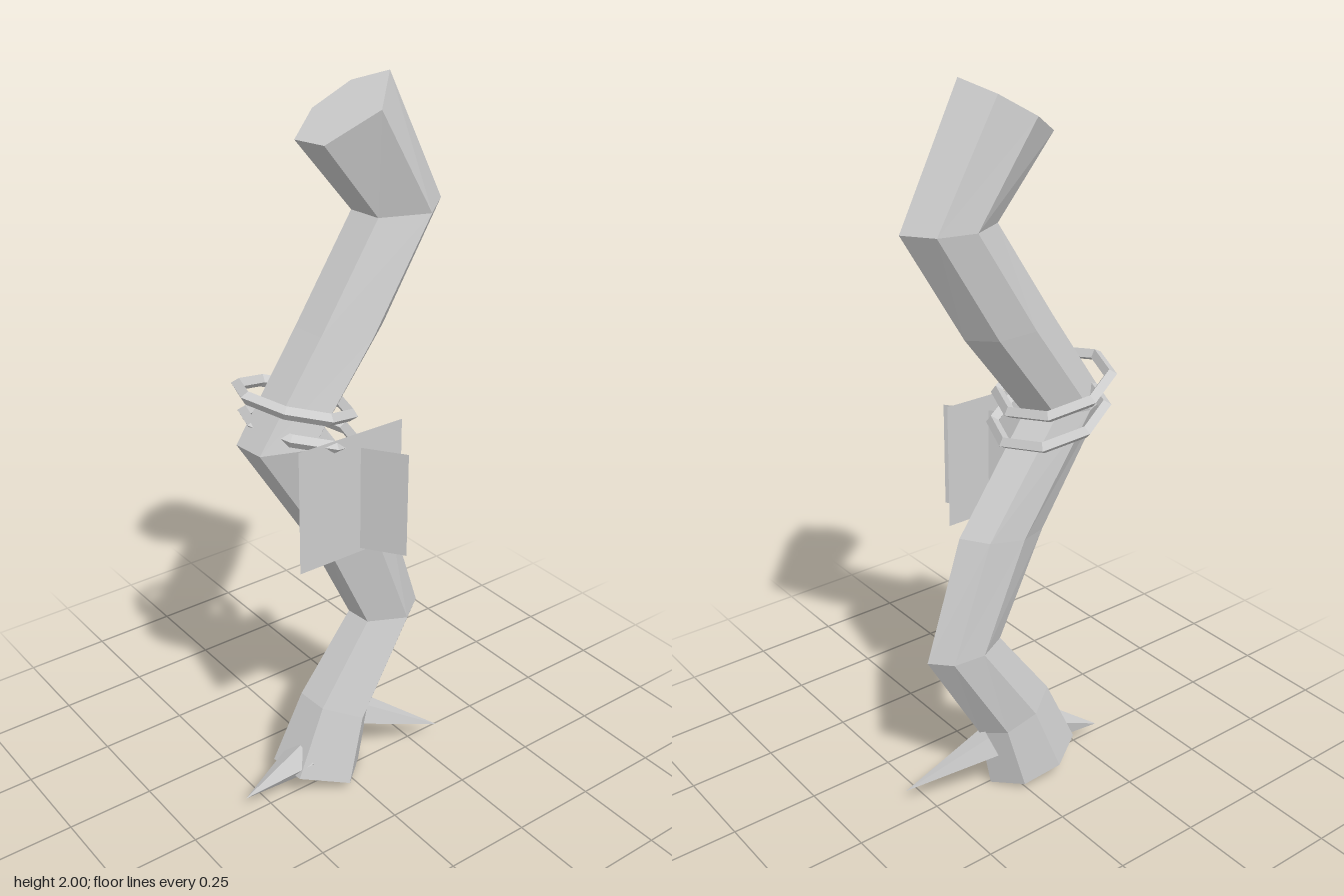
import * as THREE from 'three';

export function createModel() {
  const model = new THREE.Group();
  const grey = new THREE.MeshStandardMaterial({ color: 0xcccccc });
  grey.name = 'pale grey';
  grey.flatShading = true;
  grey.side = THREE.DoubleSide;

  const add = (name, geometry) => {
    const mesh = new THREE.Mesh(geometry, grey);
    mesh.name = name;
    model.add(mesh);
    return mesh;
  };

  // Trunk: one six-sided section (fraction across, depth) swept down crooked rows
  const section = [[0, -0.06], [0.37, -0.107], [0.78, -0.083], [1, -0.005], [0.57, 0.09], [0.04, 0.04]];
  // Each row: left x, left y, right x, right y, depth scale
  const rows = [
    [-0.09, 1.86, 0.145, 2.0, 1.05],
    [0.072, 1.665, 0.315, 1.665, 0.95],
    [-0.1, 1.4, 0.135, 1.37, 0.95],
    [-0.285, 1.13, -0.05, 1.13, 0.9],
    [-0.08, 0.8, 0.16, 0.83, 0.8],
    [0.06, 0.51, 0.27, 0.49, 0.75],
    [-0.1, 0.29, 0.1, 0.19, 0.9],
    [-0.19, 0.09, 0.065, 0.005, 1.12],
  ];
  const n = section.length;
  const positions = [];
  const index = [];
  for (const [lx, ly, rx, ry, depth] of rows) {
    for (const [t, z] of section) {
      positions.push(lx + (rx - lx) * t, ly + (ry - ly) * t, z * depth);
    }
  }
  for (let r = 0; r < rows.length - 1; r++) {
    for (let k = 0; k < n; k++) {
      const a = r * n + k, b = r * n + (k + 1) % n;
      index.push(a, b, b + n, a, b + n, a + n);
    }
  }
  const last = (rows.length - 1) * n;
  for (let k = 1; k < n - 1; k++) {
    index.push(0, k + 1, k, last, last + k, last + k + 1);
  }
  const trunk = new THREE.BufferGeometry();
  trunk.setAttribute('position', new THREE.Float32BufferAttribute(positions, 3));
  trunk.setIndex(index);
  const facetedTrunk = trunk.toNonIndexed();
  facetedTrunk.computeVertexNormals();
  add('trunk', facetedTrunk);

  // Two tilted hoops hanging around the upper bend
  [[-0.114, 1.21], [-0.098, 1.13]].forEach(([x, y], i) => {
    const hoop = new THREE.TorusGeometry(0.149, 0.017, 4, 8);
    hoop.rotateX(Math.PI / 2);
    hoop.rotateZ(-0.3);
    add(i ? 'lowerHoop' : 'upperHoop', hoop).position.set(x, y, -0.045);
  });

  // Pointed roots at the foot
  const addRoot = (name, base, tip, radius) => {
    const from = new THREE.Vector3(...base);
    const axis = new THREE.Vector3(...tip).sub(from);
    const cone = new THREE.ConeGeometry(radius, axis.length(), 5);
    cone.translate(0, axis.length() / 2, 0);
    const root = add(name, cone);
    root.position.copy(from);
    root.quaternion.setFromUnitVectors(new THREE.Vector3(0, 1, 0), axis.normalize());
  };
  addRoot('leftRoot', [0.08, 0.165, -0.03], [0.315, 0.055, 0.055], 0.05);
  addRoot('rightRoot', [-0.13, 0.12, 0], [-0.32, 0.045, -0.018], 0.055);

  // Two crossing upright sheets on the front of the trunk
  const addSheet = (name, x0, z0, x1, z1, bottom, top) => {
    const sheet = add(name, new THREE.PlaneGeometry(Math.hypot(x1 - x0, z1 - z0), top - bottom));
    sheet.position.set((x0 + x1) / 2, (bottom + top) / 2, (z0 + z1) / 2);
    sheet.rotation.y = -Math.atan2(z1 - z0, x1 - x0);
  };
  addSheet('frontSheet', -0.21, 0.107, 0.112, 0.107, 0.805, 1.15);
  addSheet('crossSheet', -0.09, 0.005, 0.052, 0.21, 0.815, 1.107);

  return model;
}
